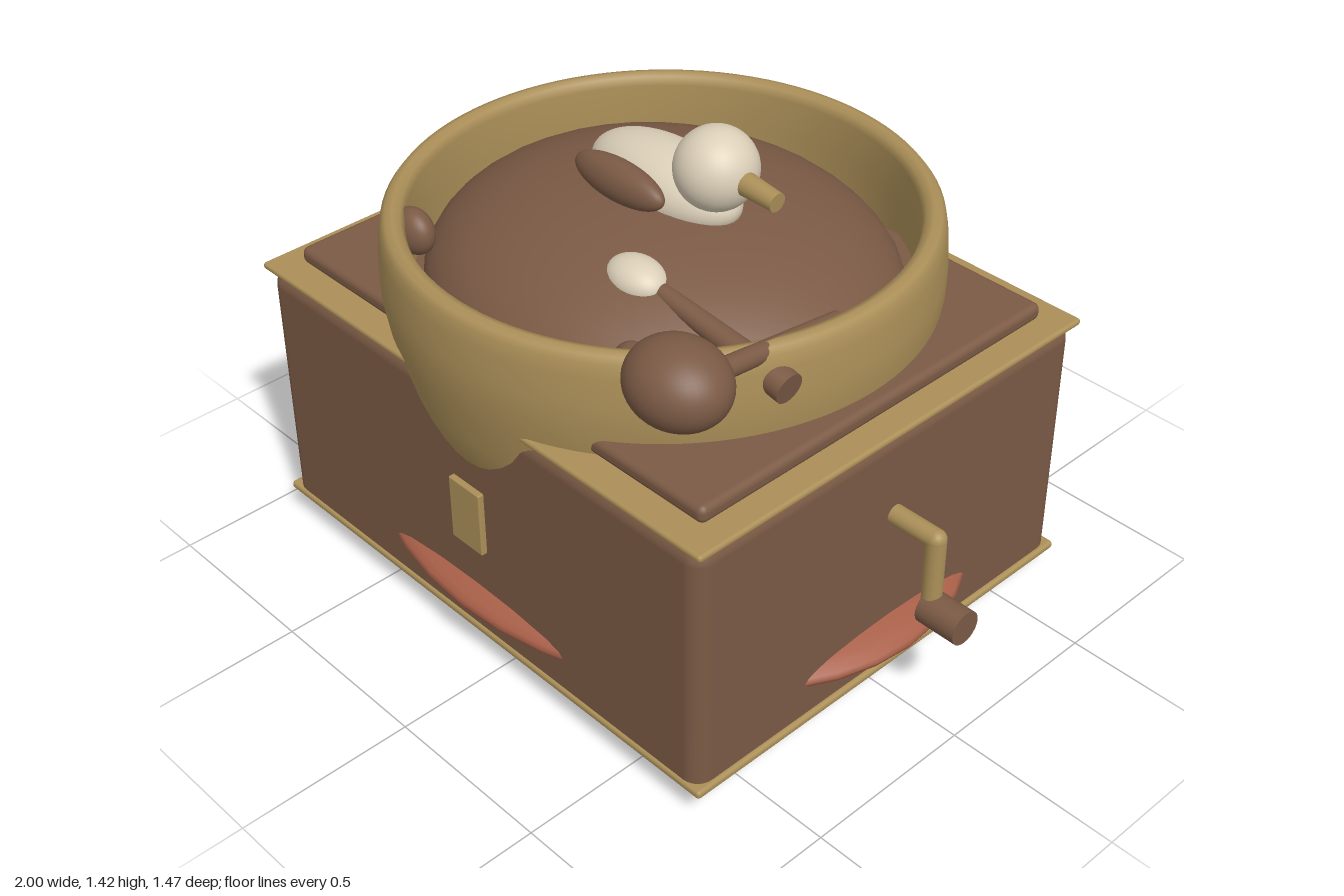
import * as THREE from 'three';
import { RoundedBoxGeometry } from 'three/addons/geometries/RoundedBoxGeometry.js';

const CX = -0.08; // centre line of the cabinet

export function createModel() {
  const model = new THREE.Group();
  model.name = 'songbirdBox';

  const flat = (name, color) => {
    const m = new THREE.MeshStandardMaterial({ color });
    m.name = name;
    return m;
  };
  const wood = flat('brown wood', 0x7b5a45);
  const brass = flat('brass', 0xab8f58);
  const cream = flat('cream', 0xdbcfb8);
  const red = flat('terracotta red', 0xa85f48);

  const add = (name, geometry, material, x, y, z) => {
    const mesh = new THREE.Mesh(geometry, material);
    mesh.name = name;
    mesh.position.set(x, y, z);
    model.add(mesh);
    return mesh;
  };
  const block = (name, mat, w, h, d, r, x, y, z) =>
    add(name, new RoundedBoxGeometry(w, h, d, 4, r), mat, x, y, z);
  const ellipsoid = (name, mat, rx, ry, rz, x, y, z) =>
    add(name, new THREE.SphereGeometry(1, 40, 28).scale(rx, ry, rz), mat, x, y, z);
  // Tapered rod between two points
  const rod = (name, mat, from, to, r0, r1) => {
    const a = new THREE.Vector3(...from);
    const b = new THREE.Vector3(...to);
    const dir = b.clone().sub(a);
    const geometry = new THREE.CylinderGeometry(r1, r0, dir.length(), 24);
    const mid = a.clone().add(b).multiplyScalar(0.5);
    const mesh = add(name, geometry, mat, mid.x, mid.y, mid.z);
    mesh.quaternion.setFromUnitVectors(new THREE.Vector3(0, 1, 0), dir.normalize());
    return mesh;
  };

  // Cabinet with trims, top panel and front plate
  block('cabinet', wood, 1.665, 0.79, 1.36, 0.05, CX, 0.45, 0);
  block('bottomTrim', brass, 1.69, 0.024, 1.375, 0.01, CX, 0.095, 0);
  block('topTrim', brass, 1.69, 0.02, 1.375, 0.009, CX, 0.846, 0);
  block('topPanel', wood, 1.545, 0.05, 1.22, 0.02, CX, 0.88, 0);
  block('frontPlate', brass, 0.12, 0.195, 0.03, 0.004, CX - 0.005, 0.478, 0.682);

  // Band bulging through the four sides
  ellipsoid('redBand', red, 0.918, 0.112, 0.735, CX, 0.208, 0);

  // Feet
  for (const sx of [-1, 1]) {
    for (const sz of [-1, 1]) {
      ellipsoid('foot', brass, 0.09, 0.05, 0.09, CX + sx * 0.638, 0.05, sz * 0.445);
    }
  }

  // Bowl with rounded rim, sunk into the cabinet
  const profile = [
    [0.58, 0.48], [0.635, 0.56], [0.68, 0.65], [0.702, 0.74], [0.722, 0.84], [0.736, 0.93],
    [0.737, 1.0], [0.731, 1.08], [0.724, 1.118], [0.712, 1.134], [0.692, 1.14],
    [0.672, 1.133], [0.662, 1.11], [0.662, 1.0], [0.662, 0.88],
  ].map(([r, y]) => new THREE.Vector2(r, y));
  add('bowl', new THREE.LatheGeometry(profile, 96), brass, CX, 0, 0);

  // Dome and small knobs inside the bowl
  ellipsoid('dome', wood, 0.665, 0.295, 0.605, CX, 0.9, 0);
  for (const s of [-1, 1]) {
    ellipsoid('innerKnob', wood, 0.068, 0.065, 0.046, CX + s * 0.42, 1.06, 0.485);
  }

  // Bird
  ellipsoid('birdBody', cream, 0.25, 0.105, 0.125, -0.075, 1.195, -0.005);
  ellipsoid('birdHead', cream, 0.11, 0.11, 0.11, 0.112, 1.308, 0);
  rod('birdBeak', brass, [0.18, 1.308, 0], [0.322, 1.298, 0], 0.033, 0.026);
  const wing = ellipsoid('birdWing', wood, 0.16, 0.056, 0.045, -0.107, 1.23, 0.126);
  wing.rotation.x = -0.2;

  // Spoon lying over the rim
  ellipsoid('spoonHead', cream, 0.09, 0.055, 0.067, 0.125, 1.118, 0.283);
  rod('spoonHandle', wood, [0.18, 1.115, 0.277], [0.6, 1.05, 0.268], 0.024, 0.036);
  rod('spoonEnd', wood, [0.575, 1.05, 0.268], [0.63, 1.04, 0.268], 0.042, 0.042);

  // Mallet resting across the bowl wall
  ellipsoid('malletHead', wood, 0.139, 0.108, 0.121, 0.555, 1.163, 0.553);
  rod('malletHandle', wood, [0.555, 1.14, 0.5], [0.555, 1.085, 0.025], 0.029, 0.023);

  // Side crank
  rod('crankShaft', brass, [0.745, 0.588, 0], [0.89, 0.588, 0], 0.027, 0.027);
  rod('crankArm', brass, [0.888, 0.59, 0], [0.888, 0.37, 0], 0.027, 0.027);
  ellipsoid('crankJoint', brass, 0.027, 0.027, 0.027, 0.888, 0.588, 0);
  rod('crankKnob', wood, [0.877, 0.368, 0], [1.0, 0.368, 0], 0.048, 0.048);

  return model;
}
